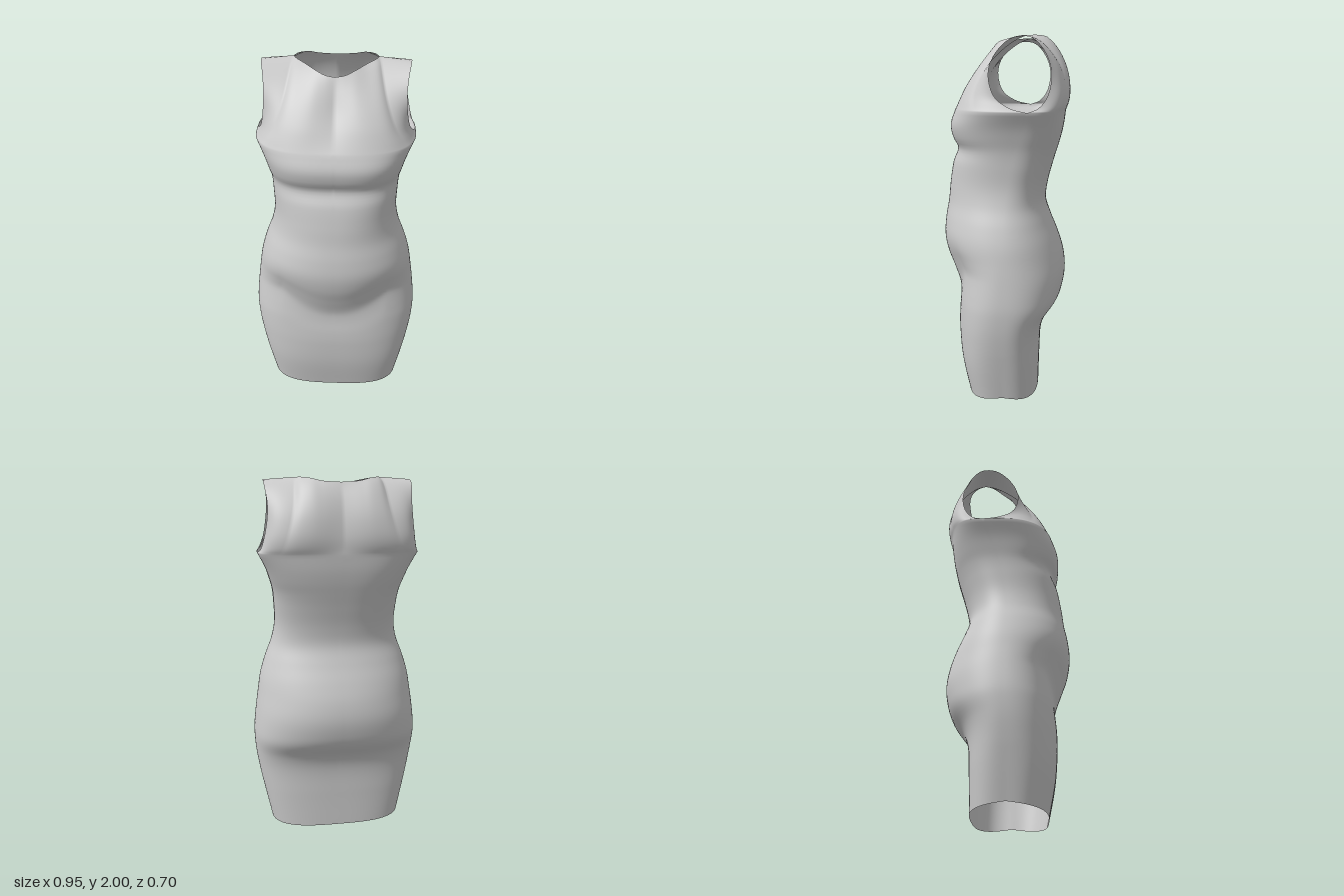
import * as THREE from 'three';
import { mergeGeometries, mergeVertices } from 'three/addons/utils/BufferGeometryUtils.js';

// Body sections: height, half width, front z, back z, squareness, z of the side seam
const SECTIONS = [
  [0.00, 0.385, 0.210, -0.198, 3.0, 0.00],
  [0.20, 0.425, 0.250, -0.203, 2.9, 0.00],
  [0.36, 0.455, 0.264, -0.212, 2.7, 0.00],
  [0.45, 0.468, 0.264, -0.240, 2.6, 0.00],
  [0.54, 0.474, 0.257, -0.305, 2.5, 0.00],
  [0.60, 0.472, 0.260, -0.330, 2.4, 0.00],
  [0.70, 0.461, 0.295, -0.346, 2.3, 0.00],
  [0.80, 0.447, 0.332, -0.335, 2.2, 0.00],
  [0.90, 0.430, 0.350, -0.303, 2.2, 0.00],
  [1.00, 0.400, 0.344, -0.262, 2.2, 0.00],
  [1.10, 0.362, 0.327, -0.231, 2.2, 0.00],
  [1.20, 0.343, 0.316, -0.240, 2.3, -0.01],
  [1.32, 0.346, 0.295, -0.270, 2.5, -0.03],
  [1.40, 0.354, 0.266, -0.293, 2.7, -0.05],
  [1.46, 0.370, 0.292, -0.310, 2.9, -0.07],
  [1.53, 0.394, 0.303, -0.325, 3.0, -0.10],
  [1.61, 0.434, 0.276, -0.335, 3.0, -0.13],
];
const UNDERARM = 1.61, NECK_SHARE = 0.6, COLUMNS = 40;
const V = (x, y, z) => new THREE.Vector3(x, y, z);
const spline = (pts) => new THREE.CatmullRomCurve3(pts.map((p) => V(...p)), false, 'centripetal');

// Smooth interpolation of one section column at height y
function sample(y, col) {
  const S = SECTIONS, last = S.length - 1;
  y = THREE.MathUtils.clamp(y, S[0][0], S[last][0]);
  let i = 0;
  while (i < last - 1 && y > S[i + 1][0]) i++;
  const slope = (k) => {
    const a = S[Math.max(k - 1, 0)], b = S[Math.min(k + 1, last)];
    return (b[col] - a[col]) / (b[0] - a[0]);
  };
  const h = S[i + 1][0] - S[i][0], t = (y - S[i][0]) / h, t2 = t * t, t3 = t2 * t;
  return S[i][col] * (2 * t3 - 3 * t2 + 1) + S[i + 1][col] * (3 * t2 - 2 * t3)
    + h * (slope(i) * (t3 - 2 * t2 + t) + slope(i + 1) * (t3 - t2));
}

// Quarter of a body section, from the centre line to the side seam
function quarterSection(y, front) {
  const w = sample(y, 1), n = sample(y, 4), side = sample(y, 5), pts = [];
  for (let i = 0; i <= 32; i++) {
    const a = (i / 32) * Math.PI / 2;
    const x = i === 0 ? 0 : w * Math.sin(a) ** (2 / n);
    // the fold under the belly curves upward towards the hips
    const lift = front ? 1.6 * Math.min(x, 0.3) ** 2 * Math.exp(-(((y - 0.68) / 0.2) ** 2)) : 0;
    const c = i === 32 ? 0 : Math.cos(a) ** (2 / n);
    const z = side + (sample(y - lift, front ? 2 : 3) - side) * c;
    // hem rises a little at the sides
    const hem = 0.028 * Math.max(0, 1 - Math.abs(z) / 0.21) * Math.max(0, 1 - y / 0.3);
    pts.push([x, y + hem, z]);
  }
  return spline(pts);
}

// Half of the armhole rim, from underarm to shoulder tip
function armholeEdge(front) {
  const s = front ? 1 : -1, k = front ? 0 : 0.012;
  return spline([
    [0.434, 1.61, -0.13],
    [0.418, 1.632, front ? -0.04 : -0.185],
    [0.390 + k, 1.69, -0.095 + s * 0.135],
    [0.372 + k, 1.79, -0.09 + s * 0.16],
    [0.368 + k, 1.87, -0.09 + s * 0.145],
    [0.377 + k, 1.945, -0.095 + s * 0.095],
    [0.388 + k / 2, 1.98, -0.1 + s * 0.045],
    [0.393, 1.987, -0.1],
  ]);
}

const NECK = {
  front: spline([[0, 1.947, 0.062], [0.05, 1.955, 0.057], [0.1, 1.972, 0.03],
    [0.16, 1.988, -0.035], [0.205, 1.997, -0.085], [0.225, 1.999, -0.13]]),
  back: spline([[0, 1.975, -0.245], [0.1, 1.982, -0.24], [0.15, 1.994, -0.223],
    [0.2, 2, -0.18], [0.225, 1.999, -0.13]]),
};
const CENTRE = {
  front: spline([[0, 1.61, 0.276], [0, 1.7, 0.212], [0, 1.8, 0.138], [0, 1.88, 0.094], [0, 1.947, 0.062]]),
  back: spline([[0, 1.61, -0.335], [0, 1.7, -0.336], [0, 1.8, -0.32], [0, 1.89, -0.29], [0, 1.975, -0.245]]),
};

// Surface grid from rows of points; flip reverses the facing, mirror = -1 gives the other side
function gridGeometry(rows, flip, mirror) {
  const pos = [], index = [], n = rows[0].length;
  rows.forEach((row) => row.forEach((p) => pos.push(p.x * mirror, p.y, p.z)));
  for (let r = 0; r < rows.length - 1; r++) {
    for (let c = 0; c < n - 1; c++) {
      const a = r * n + c, b = a + 1, d = a + n, e = d + 1;
      if (flip !== (mirror < 0)) index.push(a, d, b, b, d, e);
      else index.push(a, b, d, b, e, d);
    }
  }
  const g = new THREE.BufferGeometry();
  g.setAttribute('position', new THREE.Float32BufferAttribute(pos, 3));
  g.setIndex(index);
  return g;
}

// Skirt and waist rows, from the hem to the underarm
function bodyRows(front) {
  const rows = [];
  for (let i = 0; i <= 90; i++) {
    const curve = quarterSection((i / 90) * UNDERARM, front);
    rows.push(curve.getSpacedPoints(COLUMNS));
  }
  return rows;
}

// Bodice panel blended between underarm line, armhole, neckline with shoulder, and centre line
function bodiceRows(front) {
  const key = front ? 'front' : 'back', steps = 28, rows = [];
  const bottom = quarterSection(UNDERARM, front).getSpacedPoints(COLUMNS);
  const inner = CENTRE[key].getSpacedPoints(steps), outer = armholeEdge(front).getSpacedPoints(steps);
  const tip = outer[steps], neckSide = NECK[key].getPoint(1);
  const top = bottom.map((_, c) => {
    const u = c / COLUMNS;
    return u <= NECK_SHARE ? NECK[key].getPointAt(Math.min(1, u / NECK_SHARE))
      : neckSide.clone().lerp(tip, (u - NECK_SHARE) / (1 - NECK_SHARE));
  });
  for (let r = 0; r <= steps; r++) {
    const v = r / steps;
    rows.push(bottom.map((b, c) => {
      const u = c / COLUMNS;
      const corners = bottom[0].clone().lerp(bottom[COLUMNS], u).lerp(top[0].clone().lerp(tip, u), v);
      return b.clone().lerp(top[c], v).add(inner[r].clone().lerp(outer[r], u)).sub(corners);
    }));
  }
  return rows;
}

export function createModel() {
  const parts = [];
  for (const front of [true, false]) {
    for (const rows of [bodyRows(front), bodiceRows(front)]) {
      for (const mirror of [1, -1]) parts.push(gridGeometry(rows, !front, mirror));
    }
  }
  // weld the panels so the cloth shades as one smooth shell
  const geometry = mergeVertices(mergeGeometries(parts), 1e-4);
  geometry.computeVertexNormals();
  const material = new THREE.MeshStandardMaterial({ color: 0xcccccc, side: THREE.DoubleSide });
  const dress = new THREE.Mesh(geometry, material);
  dress.name = 'sheathDress';
  const group = new THREE.Group();
  group.name = 'dress';
  group.add(dress);
  return group;
}
